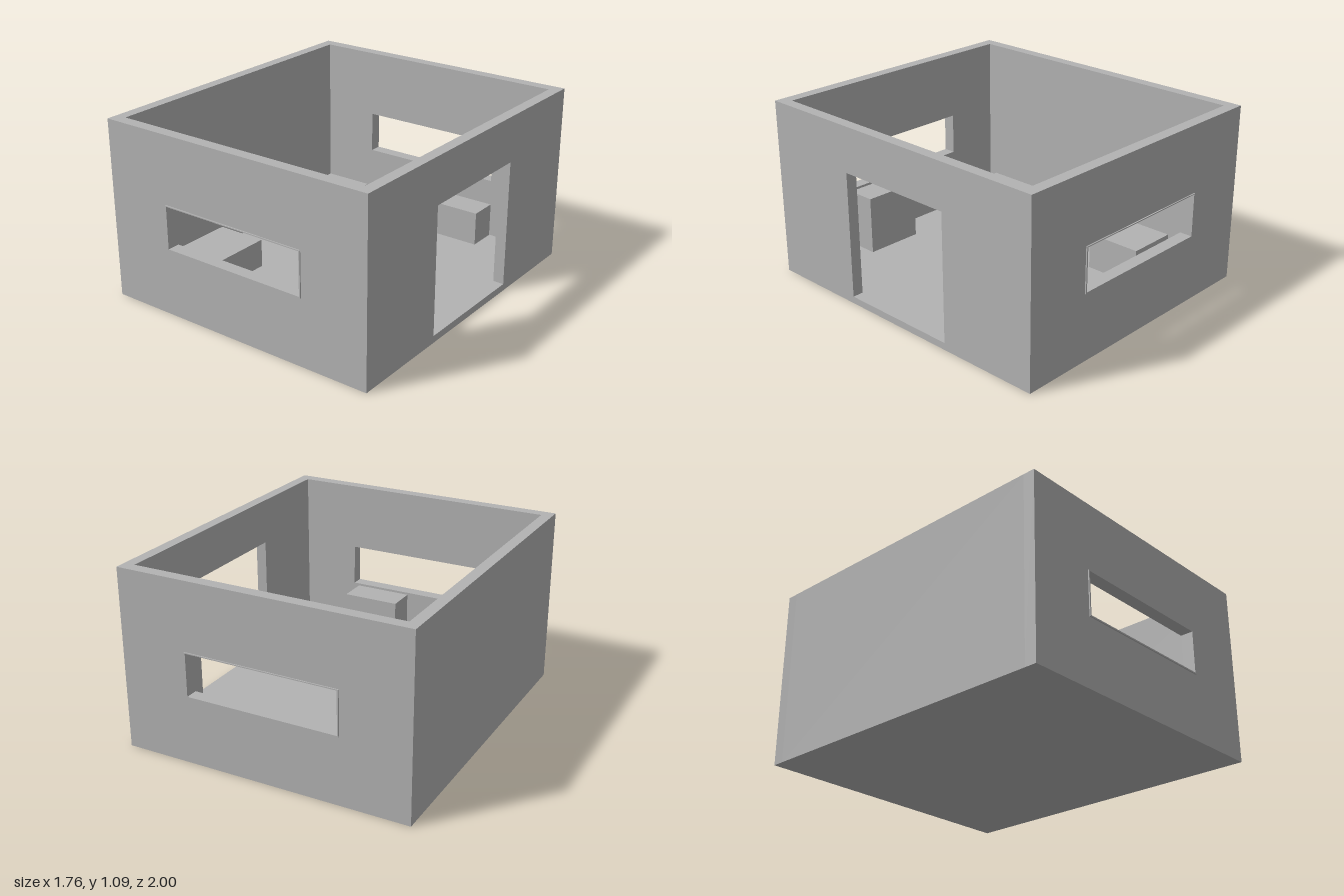
import * as THREE from 'three';

const W = 0.88, D = 0.993, H = 1.085;   // outer half width, half depth, height
const IX = 0.813, IZ = 0.923;           // inner wall faces
const FLOOR = 0.043;

export function createModel() {
  const model = new THREE.Group();
  const concrete = new THREE.MeshStandardMaterial({ color: 0xb2b2b2 });
  concrete.name = 'concrete grey';

  const add = (name, geometry, parent = model) => {
    const mesh = new THREE.Mesh(geometry, concrete);
    mesh.name = name;
    parent.add(mesh);
    return mesh;
  };
  // Box from its minimum and maximum corners
  const block = (name, x0, x1, y0, y1, z0, z1) =>
    add(name, new THREE.BoxGeometry(x1 - x0, y1 - y0, z1 - z0))
      .position.set((x0 + x1) / 2, (y0 + y1) / 2, (z0 + z1) / 2);
  const rect = (Type, x0, x1, y0, y1) => new Type([
    [x0, y0], [x1, y0], [x1, y1], [x0, y1],
  ].map(([x, y]) => new THREE.Vector2(x, y)));
  // Upright slab with a rectangular opening
  const pierced = (outer, hole, depth) => {
    const shape = rect(THREE.Shape, ...outer);
    shape.holes.push(rect(THREE.Path, ...hole));
    return new THREE.ExtrudeGeometry(shape, { depth, bevelEnabled: false });
  };

  // Floor slab inside the walls
  block('floor', -IX, IX, 0, FLOOR, -IZ, IZ);

  // Front and back walls, each with a framed window
  const opening = [-0.468, 0.468, 0.405, 0.675];
  for (const [side, turn] of [['front', 0], ['back', Math.PI]]) {
    const group = new THREE.Group();
    group.name = side + 'Wall';
    group.rotation.y = turn;
    add(side + 'WallPanel', pierced([-W, W, 0, H], opening, D - IZ), group).position.z = IZ;
    add(side + 'WindowFrame', pierced(opening, [-0.46, 0.46, 0.413, 0.669], 1 - IZ), group).position.z = IZ;
    model.add(group);
  }

  // Side walls: solid on the right, doorway on the left
  block('rightWall', -W, -IX, 0, H, -IZ, IZ);
  const doorWall = add('leftDoorWall',
    pierced([-IZ, IZ, 0, H], [-0.377, 0.377, FLOOR, 0.81], W - IX));
  doorWall.rotation.y = Math.PI / 2;
  doorWall.position.x = IX;

  // Furniture blocks standing on the floor
  block('backSeat', -0.65, -0.34, FLOOR, 0.265, -0.71, -0.365);
  block('frontSeat', -0.65, -0.34, FLOOR, 0.265, 0.365, 0.71);
  block('backCabinet', 0.108, 0.468, FLOOR, 0.255, -0.92, -0.74);
  block('frontCabinet', 0.065, 0.425, FLOOR, 0.4, 0.74, 0.92);

  return model;
}
